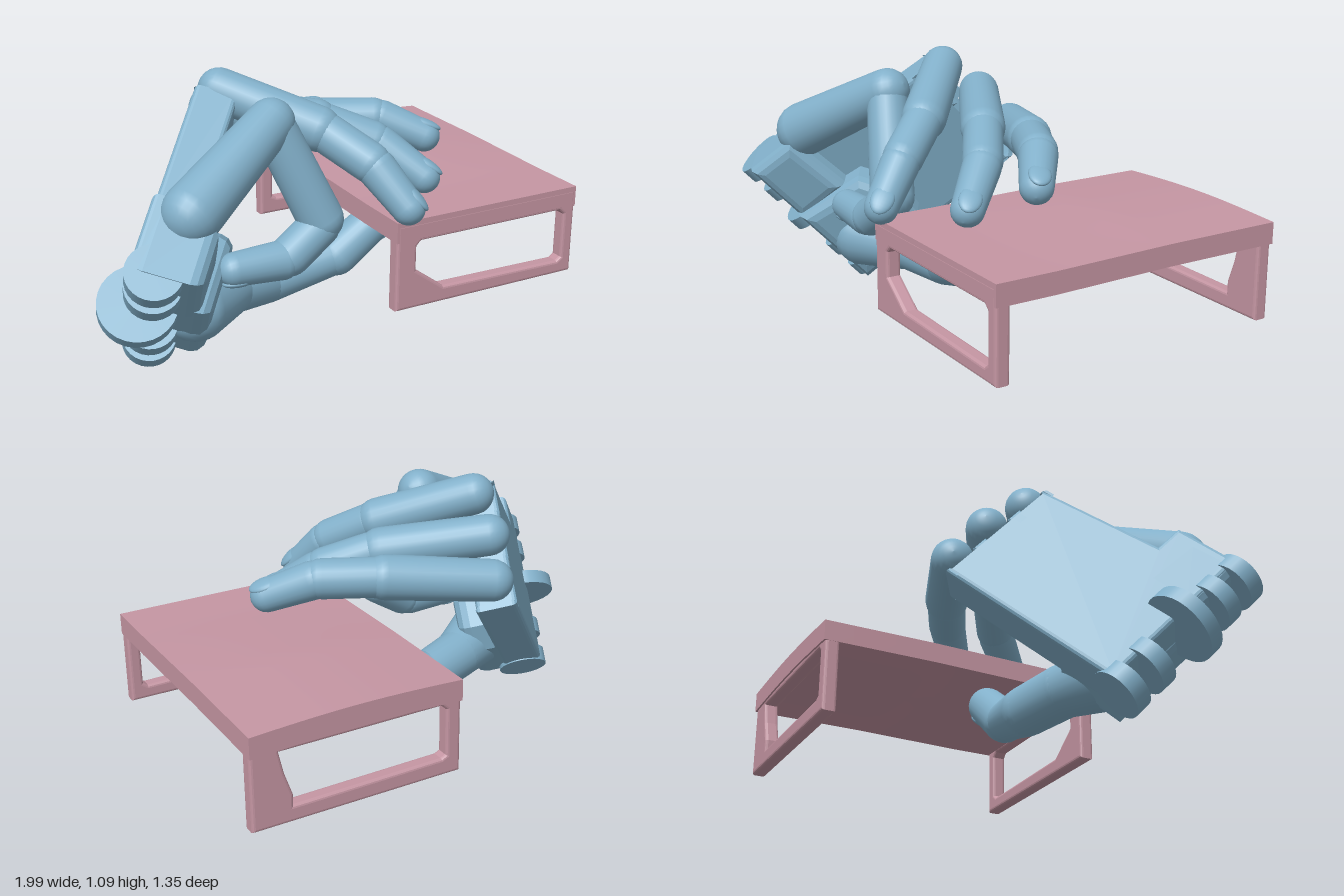
import * as THREE from 'three';

const V = (x, y, z) => new THREE.Vector3(x, y, z);
const UP = V(0, 1, 0);
const blue = new THREE.MeshStandardMaterial({ color: 0x82b0ca });
const rose = new THREE.MeshStandardMaterial({ color: 0xc596a3 });

// Palm axes: toward the fingers, across the knuckles, out of the palm
const along = V(0.56, 0.65, -0.52).normalize();
const across = V(-0.216, 0.718, 0.661).normalize();
const out = along.clone().cross(across).normalize();
across.copy(out).cross(along);

function add(parent, name, geometry, material) {
  const mesh = new THREE.Mesh(geometry, material);
  mesh.name = name;
  parent.add(mesh);
  return mesh;
}

// Rounded, tapered segment between two joint centres
function segment(parent, name, a, b, ra, rb) {
  const length = a.distanceTo(b), pts = [];
  for (let i = 0; i <= 6; i++) {
    const t = (i / 6 - 1) * Math.PI / 2;
    pts.push(new THREE.Vector2(Math.cos(t) * ra, Math.sin(t) * ra));
  }
  for (let i = 0; i <= 6; i++) {
    const t = (i / 6) * Math.PI / 2;
    pts.push(new THREE.Vector2(Math.max(0, Math.cos(t) * rb), length + Math.sin(t) * rb));
  }
  pts[0].x = 0;
  pts[pts.length - 1].x = 0;
  const mesh = add(parent, name, new THREE.LatheGeometry(pts, 24), blue);
  mesh.position.copy(a);
  mesh.quaternion.setFromUnitVectors(UP, b.clone().sub(a).normalize());
}

// Fingertip with a slightly raised nail on its outer side
function fingertip(parent, a, tip, ra, rb, outer) {
  const dir = tip.clone().sub(a).normalize();
  const end = tip.clone().addScaledVector(dir, -rb);
  segment(parent, 'fingertip', a, end, ra, rb);
  const face = outer.clone().addScaledVector(dir, -outer.dot(dir)).normalize();
  const nail = add(parent, 'nail', new THREE.SphereGeometry(1, 20, 12), blue);
  nail.scale.set(rb * 0.68, rb * 0.95, rb * 0.28);
  nail.position.copy(end).addScaledVector(face, rb * 0.78).addScaledVector(dir, -rb * 0.15);
  const side = dir.clone().cross(face);
  nail.quaternion.setFromRotationMatrix(new THREE.Matrix4().makeBasis(side, dir, face));
}

function finger(parent, name, [root, mid, last, tip], outer) {
  const g = new THREE.Group();
  g.name = name;
  const toward = (from, to, d) => from.clone().lerp(to, d / from.distanceTo(to));
  segment(g, 'proximalSegment', root, toward(mid, root, 0.02), 0.084, 0.09);
  segment(g, 'middleSegment', toward(mid, last, 0.02), toward(last, mid, 0.02), 0.08, 0.08);
  fingertip(g, toward(last, tip, 0.02), tip, 0.077, 0.066, outer);
  parent.add(g);
}

function slab(points, depth, bevel) {
  const shape = new THREE.Shape(points.map(p => new THREE.Vector2(p[0], p[1])));
  return new THREE.ExtrudeGeometry(shape, {
    depth: depth - 2 * bevel, bevelSize: bevel, bevelThickness: bevel, bevelOffset: -bevel, bevelSegments: 3,
  }).translate(0, 0, bevel);
}

function buildPalm() {
  const palm = new THREE.Group();
  palm.name = 'palm';
  palm.quaternion.setFromRotationMatrix(new THREE.Matrix4().makeBasis(along, across, out));
  palm.position.set(-0.83, 0.05, 0.1);

  // Back plate, notched for each finger root and stepped for the little finger
  const edge = [[0.08, 0], [0.92, 0]];
  for (const v of [0.085, 0.28, 0.475])
    edge.push([0.92, v - 0.06], [0.88, v - 0.06], [0.88, v + 0.06], [0.92, v + 0.06]);
  edge.push([0.92, 0.55], [0.36, 0.59], [0.36, 0.71], [0.08, 0.71]);
  add(palm, 'palmPlate', slab(edge, 0.17, 0.02), blue);

  // Pads at the heel and the thumb root
  add(palm, 'heelPad', slab([[0.07, 0.01], [0.36, 0.02], [0.46, 0.1], [0.48, 0.25], [0.4, 0.4], [0.07, 0.44]], 0.21, 0.06), blue)
    .position.z = 0.1;
  add(palm, 'heelSide', slab([[0.06, 0.4], [0.32, 0.4], [0.3, 0.71], [0.06, 0.72]], 0.27, 0.05), blue);

  // Rounded wrist prongs around a larger central disc
  const prong = (name, u, v, t, r, width) =>
    add(palm, name, new THREE.CylinderGeometry(r, r, width, 28), blue).position.set(u, v, t);
  for (const v of [0.03, 0.17, 0.55, 0.68]) prong('wristProng', 0.07, v, 0.09, 0.105, 0.07);
  prong('wristDisc', 0.06, 0.37, 0.04, 0.15, 0.06);
  return palm;
}

function buildTable() {
  const table = new THREE.Group();
  table.name = 'table';
  // Slightly wavy top that rises toward the back
  const top = new THREE.BoxGeometry(0.855, 0.085, 1.225, 16, 2, 20).translate(0.566, 0.51, -0.07);
  const p = top.attributes.position;
  for (let i = 0; i < p.count; i++) {
    const x = p.getX(i), z = p.getZ(i), back = THREE.MathUtils.clamp((0.3 - z) / 0.5, 0, 1);
    const wave = 0.009 * back + 0.015 * back * Math.sin((x - 0.14) / 0.85 * Math.PI);
    p.setY(i, p.getY(i) + wave);
  }
  top.computeVertexNormals();
  add(table, 'tableTop', top, rose);

  // End frames with an uneven opening
  const frame = (name, z, hole) => {
    const s = new THREE.Shape([[0.14, 0.18], [0.992, 0.18], [0.992, 0.54], [0.14, 0.54]].map(q => new THREE.Vector2(...q)));
    s.holes.push(new THREE.Path(hole.map(q => new THREE.Vector2(...q))));
    const g = new THREE.ExtrudeGeometry(s, {
      depth: 0.036, bevelSize: 0.012, bevelThickness: 0.012, bevelOffset: -0.012, bevelSegments: 3,
    });
    add(table, name, g, rose).position.z = z;
  };
  frame('frontFrame', 0.495, [[0.23, 0.34], [0.23, 0.44], [0.25, 0.46], [0.92, 0.46], [0.94, 0.44], [0.94, 0.25], [0.92, 0.235], [0.36, 0.245]]);
  frame('backFrame', -0.663, [[0.2, 0.26], [0.2, 0.45], [0.22, 0.47], [0.88, 0.47], [0.86, 0.38], [0.83, 0.29], [0.83, 0.245], [0.22, 0.25]]);
  return table;
}

export function createModel() {
  const model = new THREE.Group();
  const hand = new THREE.Group();
  hand.name = 'hand';
  hand.add(buildPalm());

  // Three long fingers resting over the table top
  const outer = V(0.5, 0.8, 0.1);
  finger(hand, 'indexFinger', [V(-0.24, 0.74, -0.31), V(0.17, 0.78, -0.14), V(0.39, 0.78, -0.03), V(0.6, 0.68, 0.12)], outer);
  finger(hand, 'middleFinger', [V(-0.3, 0.88, -0.19), V(0.09, 0.82, 0.03), V(0.28, 0.74, 0.15), V(0.45, 0.58, 0.34)], outer);
  finger(hand, 'ringFinger', [V(-0.33, 1.0, -0.03), V(-0.02, 0.86, 0.24), V(0.11, 0.75, 0.41), V(0.21, 0.56, 0.58)], outer);

  // Little finger on its own swinging palm bone, curled under
  const knuckle = V(-0.26, 0.94, 0.27);
  segment(hand, 'littleFingerBase', V(-0.67, 0.72, 0.46), knuckle, 0.115, 0.092);
  finger(hand, 'littleFinger', [knuckle, V(-0.08, 0.53, 0.35), V(-0.25, 0.42, 0.37), V(-0.53, 0.42, 0.36)], V(0, -1, 0.2));

  // Thumb reaching beneath the table
  const thumb = new THREE.Group();
  thumb.name = 'thumb';
  const joints = [V(-0.57, 0.24, 0.23), V(-0.36, 0.22, 0.11), V(-0.17, 0.195, 0.05), V(0.12, 0.265, 0.11), V(0.37, 0.45, 0.13)];
  segment(thumb, 'thumbRoot', joints[0], joints[1], 0.14, 0.105);
  segment(thumb, 'thumbBase', joints[1], joints[2], 0.105, 0.1);
  segment(thumb, 'thumbMiddle', joints[2], joints[3], 0.1, 0.08);
  fingertip(thumb, joints[3], joints[4], 0.088, 0.08, V(0.8, -0.6, 0));
  hand.add(thumb);

  model.add(hand, buildTable());
  return model;
}
